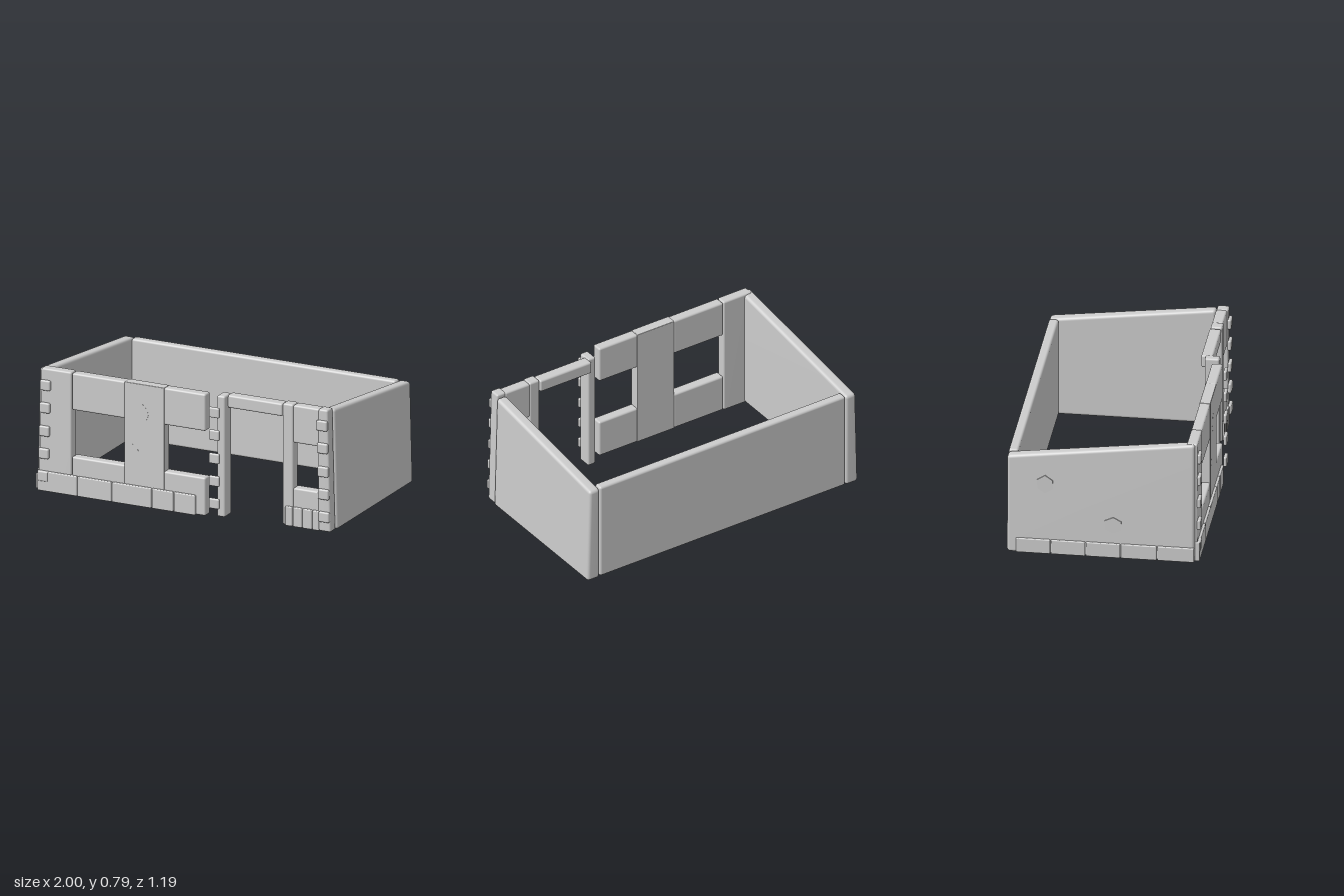
import * as THREE from 'three';
import { RoundedBoxGeometry } from 'three/addons/geometries/RoundedBoxGeometry.js';
import { mergeVertices } from 'three/addons/utils/BufferGeometryUtils.js';

export function createModel() {
  const group = new THREE.Group();
  const stone = new THREE.MeshStandardMaterial({ color: 0xcccccc });
  stone.name = 'pale grey stone';

  // Rounded block given by its extents; an optional rule moves its vertices
  function block(name, [x0, x1], [y0, y1], [z0, z1], r = 0.012, rule = null) {
    let geo = new RoundedBoxGeometry(x1 - x0, y1 - y0, z1 - z0, 3, r);
    geo.translate((x0 + x1) / 2, (y0 + y1) / 2, (z0 + z1) / 2);
    if (rule) {
      geo.deleteAttribute('normal');
      geo.deleteAttribute('uv');
      geo = mergeVertices(geo, 1e-5);
      const p = geo.attributes.position, v = new THREE.Vector3();
      for (let i = 0; i < p.count; i++) {
        rule(v.fromBufferAttribute(p, i));
        p.setXYZ(i, v.x, v.y, v.z);
      }
      geo.computeVertexNormals();
    }
    const mesh = new THREE.Mesh(geo, stone);
    mesh.name = name;
    group.add(mesh);
    return mesh;
  }

  // Outer faces lean in towards the top
  const lean = (v) => {
    if (Math.abs(v.x) > 0.935) v.x -= Math.sign(v.x) * 0.025 * v.y;
  };
  // Side walls also slope down towards the back
  const sideRule = (v) => {
    if (v.y > 0.3) v.y += (v.z - 0.57) * 0.124;
    lean(v);
  };

  // Side and back walls
  block('leftWall', [0.91, 1.0], [0, 0.79], [-0.595, 0.43], 0.02, sideRule);
  block('rightWall', [-0.99, -0.9], [0, 0.79], [-0.595, 0.56], 0.02, sideRule);
  block('backWall', [-0.897, 0.908], [0.005, 0.652], [-0.595, -0.535], 0.015);

  // Wide front wall: corner pier, central pier, lintels and sills
  const wide = [0.508, 0.575];
  block('cornerPier', [-0.972, -0.745], [0, 0.79], wide, 0.012, lean);
  block('centralPier', [-0.383, -0.11], [0.005, 0.787], wide, 0.004);
  for (const [a, b] of [[-0.743, -0.378], [-0.115, 0.17]]) {
    block('windowLintel', [a, b], [0.55, 0.787], wide);
    block('windowSill', [a, b], [0.005, 0.25], wide);
  }

  // Doorway
  block('doorPostRight', [0.232, 0.288], [0.005, 0.782], [0.455, 0.545]);
  block('doorLintel', [0.28, 0.657], [0.697, 0.778], [0.427, 0.5]);
  block('doorPostLeft', [0.66, 0.733], [0.005, 0.785], [0.432, 0.504]);

  // Narrow front wall with a small window
  block('smallLintel', [0.73, 0.912], [0.54, 0.782], [0.432, 0.5]);
  block('smallSill', [0.73, 0.912], [0.005, 0.25], [0.432, 0.5]);
  block('endPost', [0.905, 0.99], [0.003, 0.785], [0.435, 0.507], 0.012, lean);

  // Columns of quoin stones
  for (const y of [0.1, 0.245, 0.39, 0.54, 0.685]) {
    const s = 0.025 * y, ys = [y - 0.033, y + 0.033];
    block('cornerQuoin', [-0.97 + s, -0.9 + s], ys, [0.57, 0.595], 0.01);
    block('doorQuoin', [0.2, 0.272], ys, [0.573, 0.595], 0.01);
    block('endQuoin', [0.917 - s, 0.99 - s], ys, [0.502, 0.526], 0.01);
  }

  // Base courses, cut at the listed joints
  function course(name, joints, make) {
    for (let i = 0; i < joints.length - 1; i++) make(name, [joints[i] + 0.002, joints[i + 1] - 0.002]);
  }
  course('frontBaseStone', [-0.975, -0.7, -0.465, -0.193, -0.043, 0.108],
    (n, xs) => block(n, xs, [0.004, 0.132], [0.56, 0.59], 0.007));
  course('smallBaseStone', [0.68, 0.732, 0.798, 0.866, 0.915],
    (n, xs) => block(n, xs, [0.004, 0.13], [0.49, 0.514], 0.007));
  course('sideBaseStone', [-0.54, -0.325, -0.11, 0.105, 0.33, 0.56],
    (n, zs) => block(n, [-0.999, -0.97], [0.004, 0.1], zs, 0.007));

  // Thin irregular stones showing through the plaster
  function patch(name, radii, size, depth, position, turn = 0) {
    const pts = radii.map((r, i) => {
      const a = (i / radii.length) * Math.PI * 2 + Math.PI / 2;
      return new THREE.Vector2(Math.cos(a) * r * size, Math.sin(a) * r * size);
    });
    const geo = new THREE.ExtrudeGeometry(new THREE.Shape(pts), { depth, bevelEnabled: false });
    const mesh = new THREE.Mesh(geo, stone);
    mesh.name = name;
    mesh.position.set(...position);
    mesh.rotation.y = turn;
    group.add(mesh);
  }
  patch('frontStone', [1.1, 0.85, 0.75, 0.95, 1, 0.75, 0.8], 0.055, 0.002, [-0.26, 0.6, 0.574]);
  patch('frontStone', [0.75, 0.85, 1.05, 0.75, 0.8, 1.1, 0.8], 0.04, 0.002, [-0.33, 0.365, 0.574]);
  patch('sideStone', [1, 0.95, 0.9, 1, 0.95, 0.9], 0.06, 0.009, [-0.975, 0.47, -0.36], -Math.PI / 2);
  patch('sideStone', [0.9, 1, 0.95, 0.9, 1, 0.95], 0.06, 0.009, [-0.981, 0.22, 0.06], -Math.PI / 2);

  return group;
}
